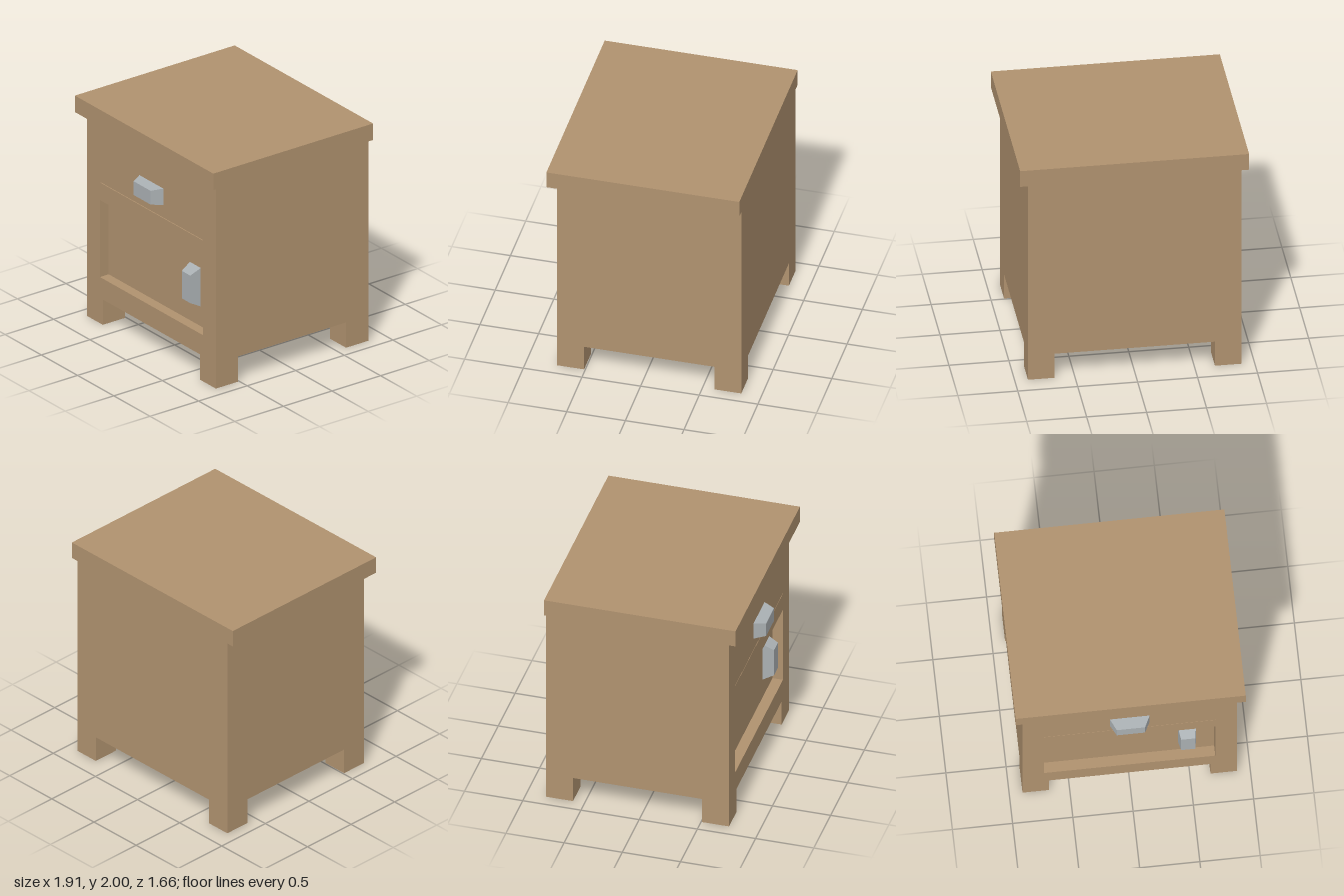
import * as THREE from 'three';

export function createModel() {
  const group = new THREE.Group();
  const wood = new THREE.MeshStandardMaterial({ color: 0xb0926f });
  wood.name = 'wood';
  const metal = new THREE.MeshStandardMaterial({ color: 0xaab0b3 });
  metal.name = 'metal';

  const add = (name, geometry, material) => {
    const mesh = new THREE.Mesh(geometry, material);
    mesh.name = name;
    group.add(mesh);
    return mesh;
  };
  // Box given by its extents
  const box = (name, x0, x1, y0, y1, z0, z1) =>
    add(name, new THREE.BoxGeometry(x1 - x0, y1 - y0, z1 - z0), wood)
      .position.set((x0 + x1) / 2, (y0 + y1) / 2, (z0 + z1) / 2);
  // Rectangular outline for shapes and holes
  const rect = (Kind, x0, x1, y0, y1) => new Kind([
    [x0, y0], [x1, y0], [x1, y1], [x0, y1],
  ].map(([x, y]) => new THREE.Vector2(x, y)));

  const W = 0.89, back = -0.83, front = 0.74, recess = 0.65;
  const bottom = 0.23, under = 1.85;

  // Overhanging top and the cabinet behind the front frame
  box('top', -0.955, 0.955, under, 2, back, 0.815);
  box('cabinet', -W, W, bottom, under, back, recess);

  // Front frame with the recessed door and the groove below the drawer
  const frame = rect(THREE.Shape, -W, W, bottom, under);
  frame.holes.push(
    rect(THREE.Path, -0.71, 0.71, 0.42, 1.12),
    rect(THREE.Path, -0.71, 0.71, 1.28, 1.286),
  );
  add('frontFrame', new THREE.ExtrudeGeometry(frame, { depth: front - recess, bevelEnabled: false }), wood)
    .position.z = recess;

  // Four legs flush with the cabinet corners
  for (const s of [-1, 1]) {
    const [x0, x1] = s < 0 ? [-W, -0.67] : [0.67, W];
    box('frontLeg', x0, x1, 0, bottom, 0.51, front);
    box('backLeg', x0, x1, 0, bottom, back, -0.6);
  }

  // Handles: boxes whose outer face is narrowed
  const handle = (name, x, y, z, w, h, frontW, frontH, depth) => {
    const geometry = new THREE.BoxGeometry(w, h, depth);
    const p = geometry.attributes.position;
    for (let i = 0; i < p.count; i++) {
      if (p.getZ(i) > 0) p.setXY(i, p.getX(i) * frontW / w, p.getY(i) * frontH / h);
    }
    const flat = geometry.toNonIndexed();
    flat.computeVertexNormals();
    add(name, flat, metal).position.set(x, y, z + depth / 2);
  };
  handle('drawerHandle', 0, 1.475, front, 0.33, 0.15, 0.235, 0.125, 0.095);
  handle('doorHandle', 0.485, 0.775, recess, 0.15, 0.35, 0.118, 0.25, 0.095);

  return group;
}
